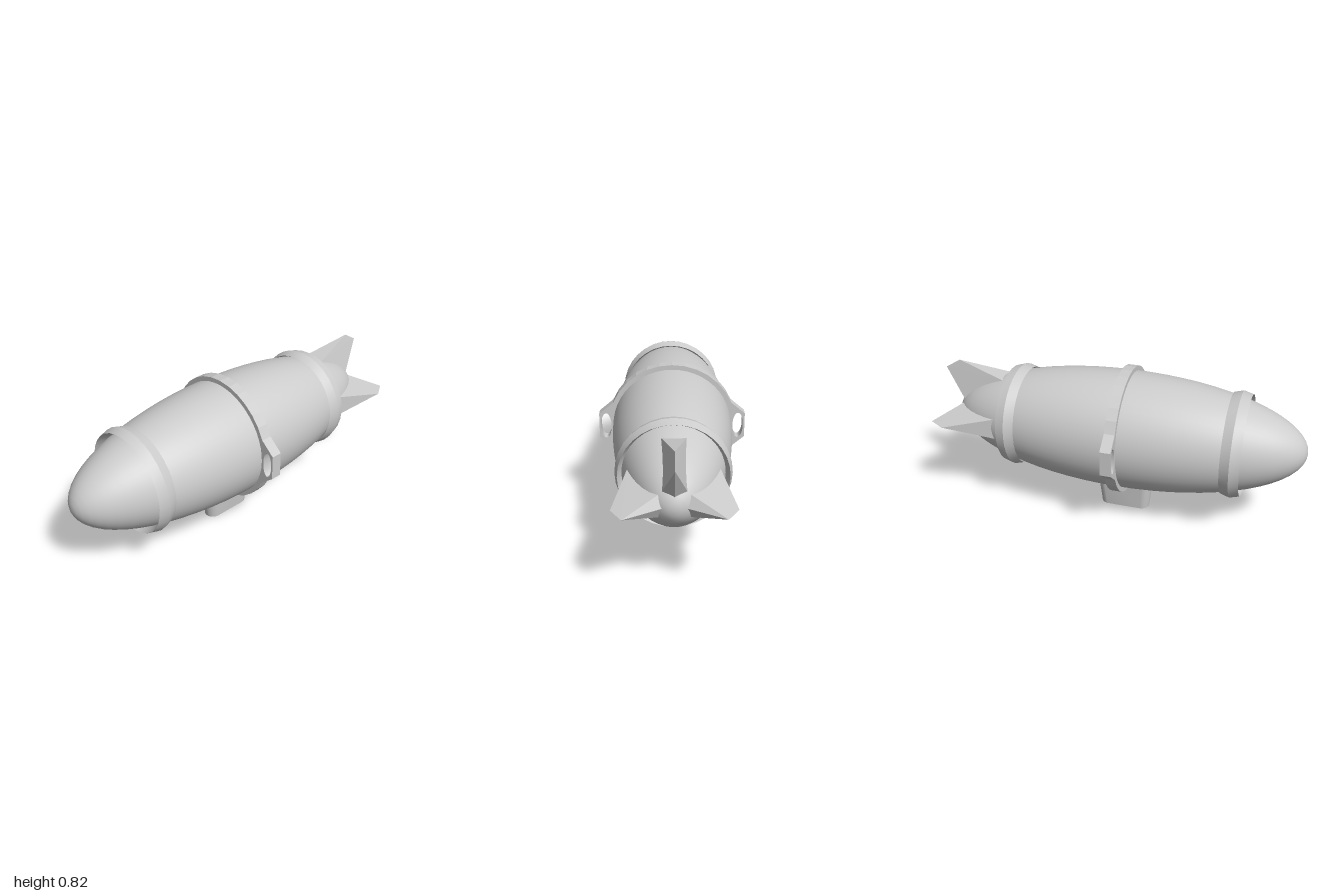
import * as THREE from 'three';
import { toCreasedNormals } from 'three/addons/utils/BufferGeometryUtils.js';
import { ConvexGeometry } from 'three/addons/geometries/ConvexGeometry.js';

const AXIS_Y = 0.477; // height of the hull's long axis
const MID_X = -0.04;  // middle of the hull

export function createModel() {
  const model = new THREE.Group();
  const grey = new THREE.MeshStandardMaterial({ color: 0xcccccc });
  const add = (name, geometry, x, y) => {
    const mesh = new THREE.Mesh(geometry, grey);
    mesh.name = name;
    mesh.position.set(x, y, 0);
    model.add(mesh);
    return mesh;
  };

  // Hull: a long ellipsoid with its poles at nose and tail
  const hull = new THREE.SphereGeometry(1, 48, 32);
  hull.rotateZ(Math.PI / 2);
  hull.scale(0.96, 0.317, 0.317);
  add('hull', hull, MID_X, AXIS_Y);

  // Collars near nose and tail: a diamond section turned round the axis
  const section = [[0.245, 0], [0.267, -0.05], [0.281, 0], [0.267, 0.05], [0.245, 0]];
  const collar = new THREE.LatheGeometry(section.map(([r, x]) => new THREE.Vector2(r, x)), 32);
  collar.rotateZ(-Math.PI / 2);
  const creasedCollar = toCreasedNormals(collar, 0.2);
  add('noseCollar', creasedCollar, -0.64, AXIS_Y);
  add('tailCollar', creasedCollar, 0.555, AXIS_Y);

  // Middle band: faceted hoop with a pierced lug on each side
  const outline = [];
  for (const side of [1, -1]) {
    outline.push(new THREE.Vector2(side * 0.392, side * 0.067));
    for (let k = 2; k <= 14; k++) {
      const a = k * Math.PI / 16;
      outline.push(new THREE.Vector2(side * 0.342 * Math.cos(a), side * 0.342 * Math.sin(a)));
    }
    outline.push(new THREE.Vector2(-side * 0.392, side * 0.067));
  }
  const hoop = new THREE.Shape(outline);
  hoop.holes.push(new THREE.Path().absarc(0, 0, 0.305, 0, Math.PI * 2, true));
  for (const side of [1, -1]) {
    hoop.holes.push(new THREE.Path().absellipse(side * 0.355, 0, 0.028, 0.071, 0, Math.PI * 2, true));
  }
  const band = new THREE.ExtrudeGeometry(hoop, { depth: 0.057, bevelEnabled: false, curveSegments: 24 });
  band.rotateY(Math.PI / 2);
  add('middleBand', band, -0.071, AXIS_Y);

  // Gondola: rounded slab narrowing towards the bottom
  const plan = new THREE.Shape();
  plan.absarc(0.091, 0, 0.044, -Math.PI / 2, Math.PI / 2, false);
  plan.absarc(-0.091, 0, 0.044, Math.PI / 2, Math.PI * 1.5, false);
  const gondola = new THREE.ExtrudeGeometry(plan, { depth: 0.2, bevelEnabled: false, curveSegments: 12 });
  gondola.rotateX(-Math.PI / 2);
  const pos = gondola.attributes.position;
  for (let i = 0; i < pos.count; i++) {
    const t = pos.getY(i) / 0.16;
    pos.setX(i, pos.getX(i) * (1 + 0.14 * t));
    pos.setZ(i, pos.getZ(i) * (1 + 0.36 * t));
  }
  add('gondola', toCreasedNormals(gondola, 0.6), MID_X, 0);

  // Tail fins: wide at the hull, drawn out to a sharp outer edge
  const fin = new ConvexGeometry([
    [0.63, 0.215, 0.06], [0.63, 0.215, -0.06], // front root
    [0.87, 0.06, 0.06], [0.87, 0.06, -0.06],   // rear root
    [0.9, 0.05, 0],                            // trailing root
    [0.915, 0.28, 0], [1, 0.228, 0],           // outer edge
  ].map((p) => new THREE.Vector3(...p)));
  [['topFin', 0], ['frontFin', Math.PI / 2], ['backFin', -Math.PI / 2]].forEach(([name, angle]) => {
    add(name, fin, 0, AXIS_Y).rotation.x = angle;
  });

  return model;
}
